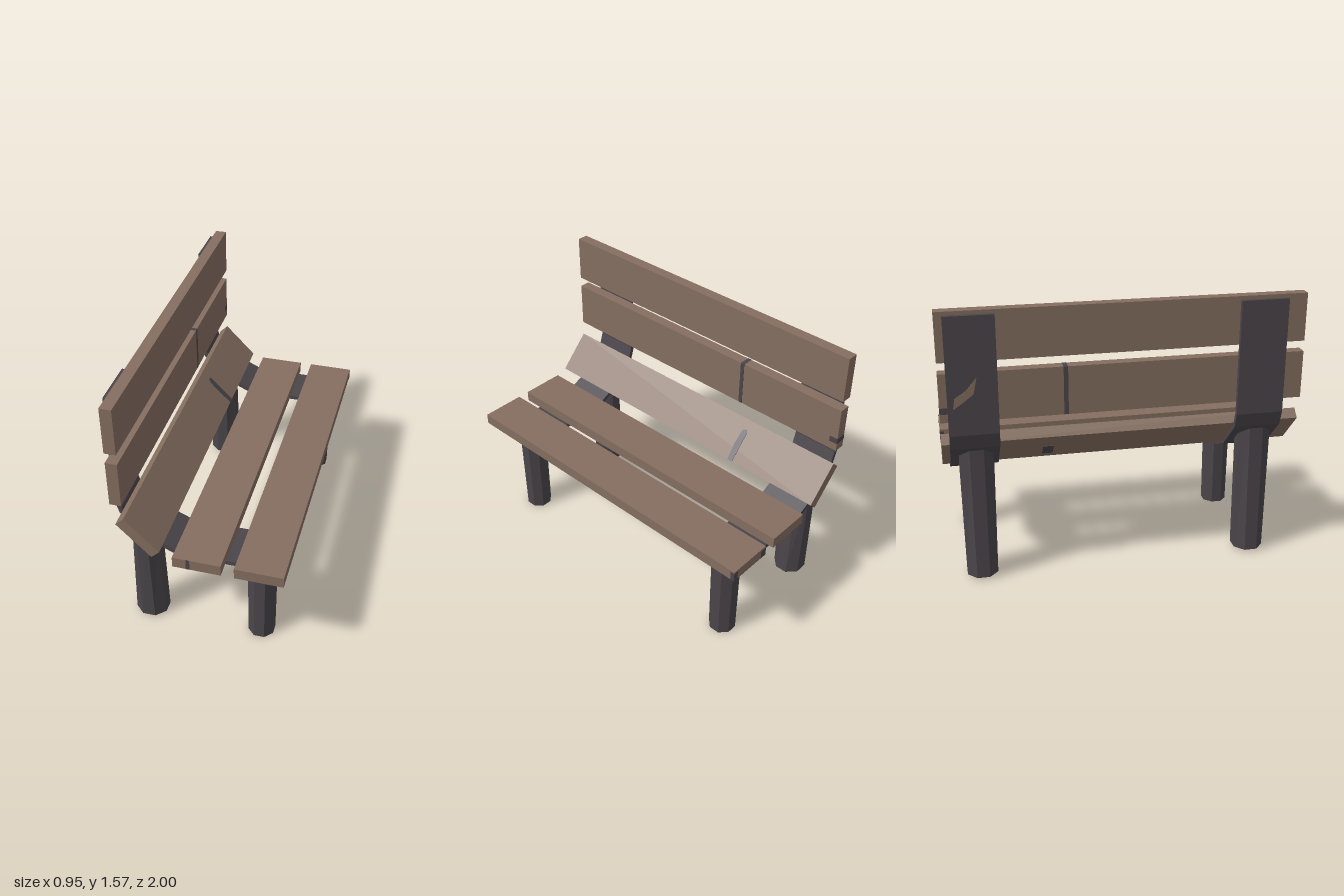
import * as THREE from 'three';

export function createModel() {
  const bench = new THREE.Group();
  bench.name = 'bench';
  const wood = new THREE.MeshStandardMaterial({ color: 0x846e60, flatShading: true });
  wood.name = 'weathered wood';
  const iron = new THREE.MeshStandardMaterial({ color: 0x4a454a, flatShading: true });
  iron.name = 'dark iron';

  const add = (parent, name, geometry, material, x = 0, y = 0, z = 0) => {
    const mesh = new THREE.Mesh(geometry, material);
    mesh.name = name;
    mesh.position.set(x, y, z);
    parent.add(mesh);
    return mesh;
  };
  const box = (w, h, d) => new THREE.BoxGeometry(w, h, d);

  // Slats: centre x, centre y, width, thickness, tilt
  const slat = (name, x, y, w, h, tilt = 0) => {
    const group = new THREE.Group();
    group.name = name;
    group.position.set(x, y, 0);
    group.rotation.z = tilt;
    add(group, name + 'Board', box(w, h, 2), wood);
    bench.add(group);
    return group;
  };
  slat('topBackSlat', -0.417, 1.435, 0.064, 0.27);
  const midBack = slat('middleBackSlat', -0.417, 1.105, 0.064, 0.27);
  const tilted = slat('tiltedSlat', -0.314, 0.763, 0.265, 0.064, -0.8);
  const rearSeat = slat('rearSeatSlat', 0.002, 0.638, 0.265, 0.064);
  const frontSeat = slat('frontSeatSlat', 0.338, 0.638, 0.265, 0.064);

  // Cracks and worn marks on the slats
  add(midBack, 'crack', box(0.068, 0.27, 0.024), iron, 0, 0.001, -0.33);
  add(midBack, 'endMark', box(0.066, 0.035, 0.05), iron, 0, -0.07, -0.976);
  add(rearSeat, 'endMark', box(0.02, 0.064, 0.004), iron, -0.047, 0, 0.999);
  add(frontSeat, 'frontCornerMark', box(0.03, 0.055, 0.024), iron, 0.119, -0.003, -0.989);
  add(frontSeat, 'rearCornerMark', box(0.04, 0.05, 0.024), iron, -0.114, -0.005, -0.989);
  const crack = new THREE.Shape([
    [-0.07, -0.008], [-0.055, -0.018], [0.03, -0.022], [0.133, -0.014],
    [0.133, 0.02], [0.03, 0.018], [-0.06, 0.018], [-0.07, 0.008],
  ].map(([x, y]) => new THREE.Vector2(x, y)));
  const crackPlate = new THREE.ExtrudeGeometry(crack, { depth: 0.004, bevelEnabled: false });
  crackPlate.rotateX(-Math.PI / 2);
  add(tilted, 'upperCrack', crackPlate, iron, 0, 0.031, -0.418);
  add(tilted, 'lowerCrack', box(0.1, 0.004, 0.06), iron, 0.04, -0.032, -0.418);

  // Bent straps that carry the slats
  const strapShape = new THREE.Shape([
    [-0.475, 1.55], [-0.475, 0.9], [-0.448, 0.815], [-0.268, 0.642], [-0.134, 0.578],
    [0.445, 0.581], [0.445, 0.606], [-0.128, 0.604], [-0.253, 0.662],
    [-0.427, 0.83], [-0.45, 0.905], [-0.45, 1.55],
  ].map(([x, y]) => new THREE.Vector2(x, y)));
  const strap = new THREE.ExtrudeGeometry(strapShape, { depth: 0.266, bevelEnabled: false });
  strap.translate(0, 0, -0.133);

  // Eight-sided leg; sizes are full widths across the flats
  const leg = (bottomW, bottomD, topW, topD, bottomY, topAt, x) => {
    const geometry = new THREE.CylinderGeometry(1, 1, 1, 8, 1);
    geometry.rotateY(Math.PI / 8);
    const p = geometry.attributes.position;
    const flat = 2 * Math.cos(Math.PI / 8);
    for (let i = 0; i < p.count; i++) {
      const top = p.getY(i) > 0;
      const px = x + p.getX(i) * (top ? topW : bottomW) / flat;
      const pz = p.getZ(i) * (top ? topD : bottomD) / flat;
      p.setXYZ(i, px, top ? topAt(px) : bottomY, pz);
    }
    geometry.computeVertexNormals();
    return geometry;
  };
  const frontLeg = leg(0.145, 0.145, 0.152, 0.155, 0, () => 0.59, 0.305);
  // The rear leg top follows the slope of the strap
  const rearLeg = leg(0.18, 0.172, 0.14, 0.19, 0.012, (x) => 0.815 - (x + 0.437) * 0.96, -0.349);

  for (const [side, strapZ, legZ] of [['left', 0.755, 0.765], ['right', -0.825, -0.818]]) {
    add(bench, side + 'Strap', strap, iron, 0, 0, strapZ);
    add(bench, side + 'FrontLeg', frontLeg, iron, 0, 0, legZ);
    add(bench, side + 'RearLeg', rearLeg, iron, 0, 0, legZ);
  }

  // Worn wood-coloured streak on the back of one strap
  const streak = new THREE.Shape([
    [0.8, 1.22], [0.82, 1.13], [0.87, 1.09], [0.93, 1.05], [0.92, 1.11], [0.86, 1.15],
  ].map(([x, y]) => new THREE.Vector2(x, y)));
  const streakPlate = new THREE.ExtrudeGeometry(streak, { depth: 0.004, bevelEnabled: false });
  streakPlate.rotateY(Math.PI / 2);
  add(bench, 'strapStreak', streakPlate, wood, -0.477);

  return bench;
}
